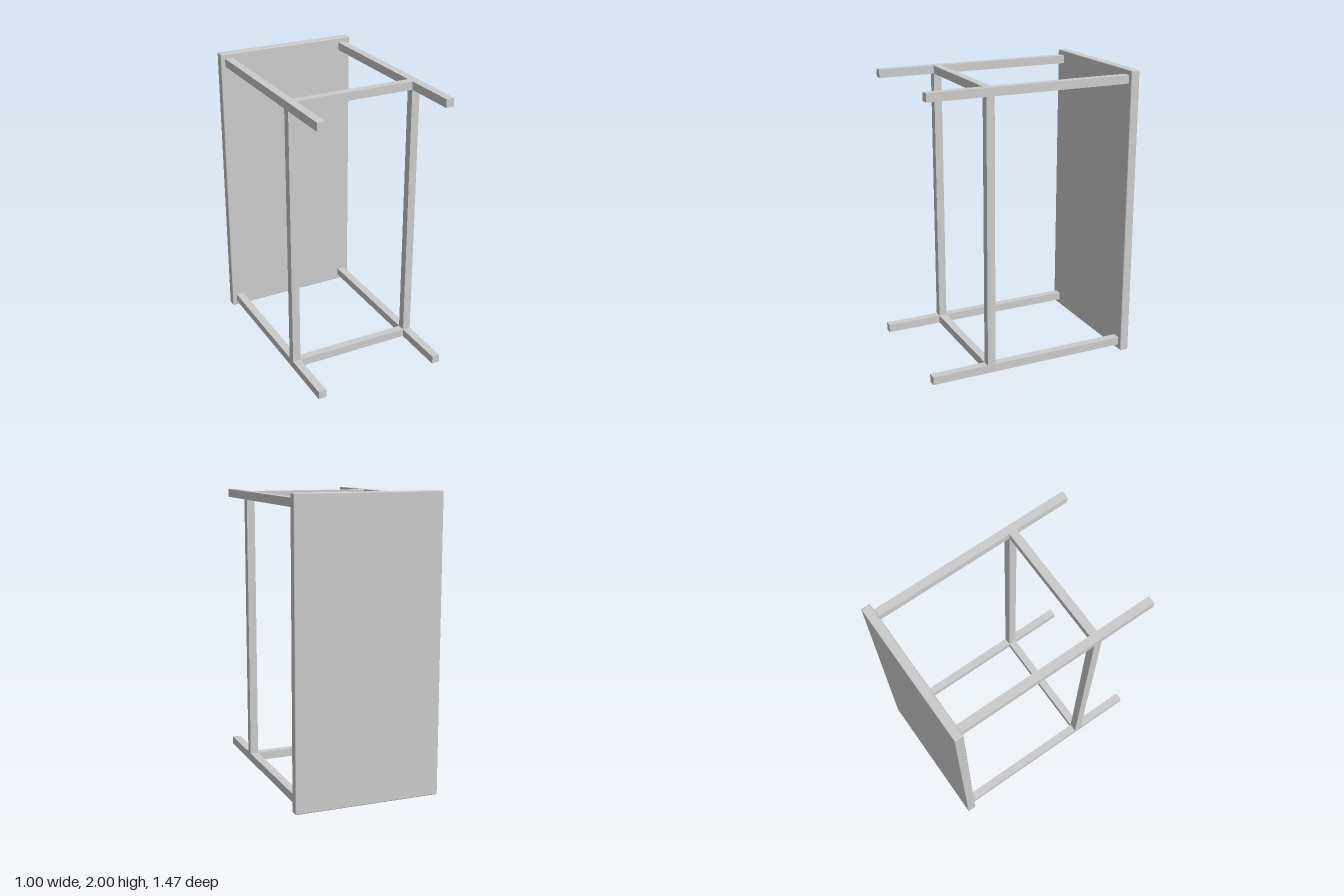
import * as THREE from 'three';
import { RoundedBoxGeometry } from 'three/addons/geometries/RoundedBoxGeometry.js';

// A table lying on its side: the top stands upright at the back, legs point forward.
export function createModel() {
  const group = new THREE.Group();
  const material = new THREE.MeshStandardMaterial({ color: 0xcccccc });

  function add(name, geometry, x, y, z) {
    const mesh = new THREE.Mesh(geometry, material);
    mesh.name = name;
    mesh.position.set(x, y, z);
    group.add(mesh);
  }

  const bar = 0.056;                  // square section of legs and rails
  const legX = 0.441, legY = 0.938;   // leg centres, measured from the middle
  const midY = 1, railZ = 0.316;
  const front = 0.735, panelFront = -0.673, panelThickness = 0.062;

  // Table top with slightly softened edges
  add('tableTop', new RoundedBoxGeometry(1, 2, panelThickness, 2, 0.007),
    0, midY, panelFront - panelThickness / 2);

  // Four legs
  const legLength = front - panelFront;
  for (const sx of [-1, 1]) for (const sy of [-1, 1]) {
    add('leg', new THREE.BoxGeometry(bar, bar, legLength),
      sx * legX, midY + sy * legY, panelFront + legLength / 2);
  }

  // Rails joining the legs: two short, two long
  for (const s of [-1, 1]) {
    add('shortRail', new THREE.BoxGeometry(2 * legX - bar, bar, bar), 0, midY + s * legY, railZ);
    add('longRail', new THREE.BoxGeometry(bar, 2 * legY - bar, bar), s * legX, midY, railZ);
  }
  return group;
}
